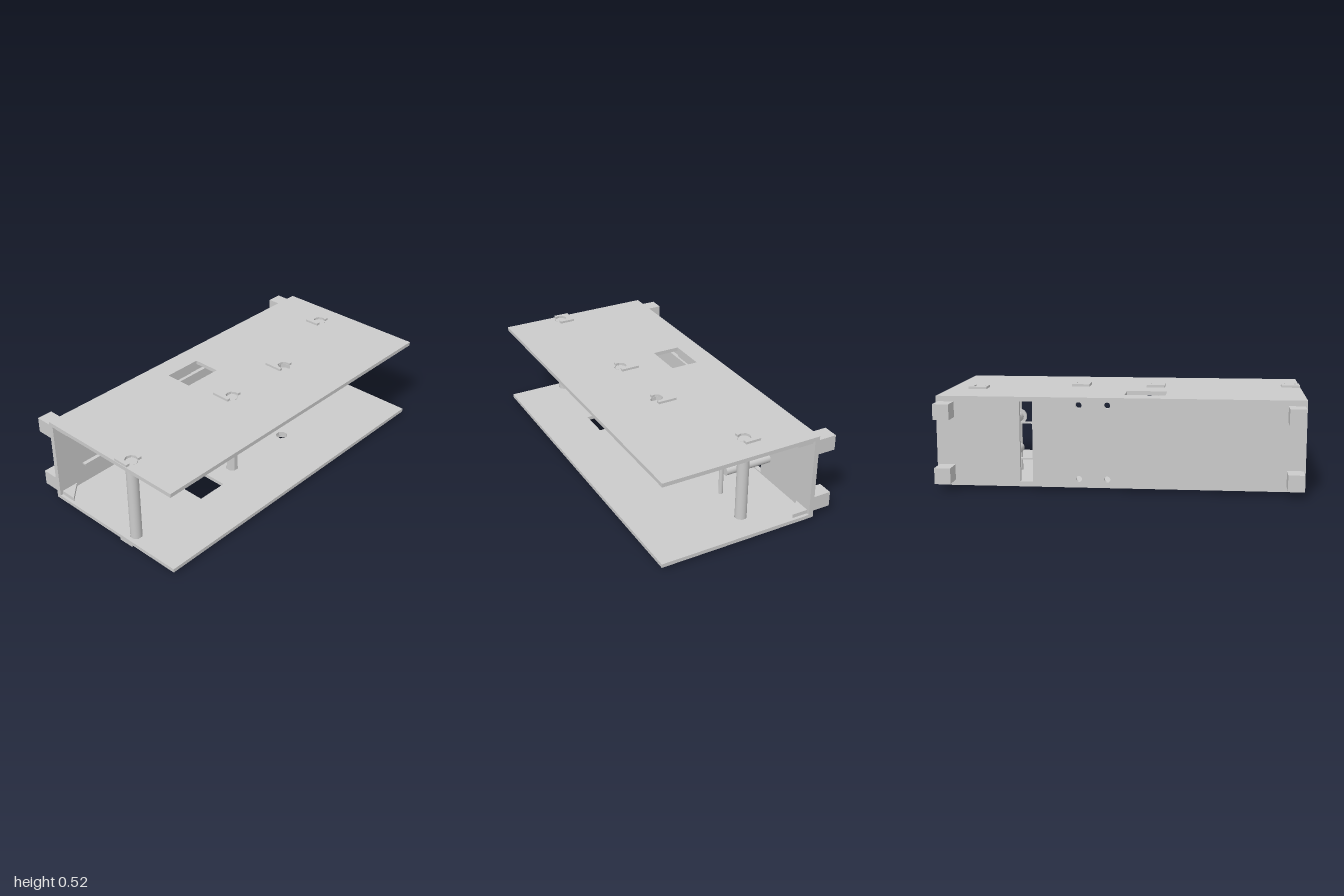
import * as THREE from 'three';

const material = new THREE.MeshStandardMaterial({ color: 0xcccccc });

// Closed outline of a rectangle, by its limits
function rect(x0, x1, y0, y1, Type = THREE.Shape) {
  const p = new Type();
  p.moveTo(x0, y0); p.lineTo(x1, y0); p.lineTo(x1, y1); p.lineTo(x0, y1); p.closePath();
  return p;
}

// Regular polygon used for holes
function ring(x, y, r, sides) {
  const pts = [];
  for (let i = 0; i < sides; i++) {
    const a = (i + 0.5) / sides * Math.PI * 2;
    pts.push(new THREE.Vector2(x + r * Math.cos(a), y + r * Math.sin(a)));
  }
  return new THREE.Path(pts);
}

const extrude = (shape, depth) =>
  new THREE.ExtrudeGeometry(shape, { depth, bevelEnabled: false, curveSegments: 8 });

// Horizontal slab: the shape is drawn as (x, -z) and raised from y0 to y1
const slab = (shape, y0, y1) =>
  extrude(shape, y1 - y0).rotateX(-Math.PI / 2).translate(0, y0, 0);

export function createModel() {
  const model = new THREE.Group();
  const add = (name, geometry) => {
    const mesh = new THREE.Mesh(geometry, material);
    mesh.name = name;
    model.add(mesh);
    return mesh;
  };
  const box = (name, x0, x1, y0, y1, z0, z1) =>
    add(name, new THREE.BoxGeometry(x1 - x0, y1 - y0, z1 - z0)
      .translate((x0 + x1) / 2, (y0 + y1) / 2, (z0 + z1) / 2));

  // Post sockets: hole centre, depth of the clip pad and sides of the post (0 = empty)
  const sockets = [
    { x: -0.945, z: 0.178, depth: 0.09, front: 0.198, sides: 24 },
    { x: -0.17, z: 0.143, depth: 0.107, front: 0.157, sides: 8 },
    { x: 0.267, z: 0.143, depth: 0.107, front: 0.157, sides: 0 },
    { x: 0.838, z: -0.05, depth: 0.088, front: -0.028, sides: 24 },
  ];
  const holeR = 0.035;

  // Upper and lower plates, each with a window
  const plates = [
    { name: 'topPlate', y0: 0.49, y1: 0.512, window: [-0.245, -0.02, 0.115, 0.275] },
    { name: 'bottomPlate', y0: 0.017, y1: 0.038, window: [-0.50, -0.32, -0.215, -0.065] },
  ];
  for (const { name, y0, y1, window } of plates) {
    const shape = rect(-1, 1, -0.51, 0.373);
    shape.holes.push(rect(...window, THREE.Path));
    for (const s of sockets) shape.holes.push(ring(s.x, -s.z, holeR, 8));
    add(name, slab(shape, y0, y1));
  }

  // Back plate with a tall slot and four bolt holes
  const back = rect(-1, 1, 0.017, 0.512);
  back.holes.push(rect(0.47, 0.54, 0.045, 0.487, THREE.Path));
  for (const x of [0.062, 0.217])
    for (const y of [0.065, 0.47]) back.holes.push(ring(x, y, 0.017, 16));
  add('backPlate', extrude(back, 0.027).translate(0, 0, -0.4));

  for (const s of sockets) {
    // Notched clip pads on the outside of both plates, open towards the front
    const start = Math.asin((s.front - s.z) / holeR);
    const pad = new THREE.Shape();
    pad.moveTo(s.x - 0.052, -s.front);
    for (let i = 0; i <= 6; i++) {
      const a = Math.PI + start - i / 6 * (Math.PI + 2 * start);
      pad.lineTo(s.x + holeR * Math.cos(a), -s.z + holeR * Math.sin(a));
    }
    pad.lineTo(s.x + 0.052, -s.front);
    pad.lineTo(s.x + 0.052, -s.front + s.depth);
    pad.lineTo(s.x - 0.052, -s.front + s.depth);
    pad.closePath();
    add('topClipPad', slab(pad, 0.512, 0.525));
    add('bottomClipPad', slab(pad, 0, 0.017));

    // Posts between the plates
    if (s.sides) {
      const post = new THREE.CylinderGeometry(0.032, 0.032, 0.495, s.sides);
      if (s.sides === 8) post.rotateY(Math.PI / 8);
      const geometry = s.sides === 8 ? post.toNonIndexed() : post;
      if (s.sides === 8) geometry.computeVertexNormals();
      add('post', geometry.translate(s.x, 0.2645, s.z));
    }
  }

  // Slim upright bar carrying the front ends of the shafts
  add('slimPost', new THREE.CylinderGeometry(0.0125, 0.0125, 0.452, 16).translate(0.602, 0.264, -0.072));

  // Round shafts running forward from the back plate
  const shaft = (name, r, y, z0, z1) =>
    add(name, new THREE.CylinderGeometry(r, r, z1 - z0, 24)
      .rotateX(Math.PI / 2).translate(0.602, y, (z0 + z1) / 2));
  shaft('upperShaft', 0.028, 0.355, -0.373, -0.1);
  shaft('upperShaftFlange', 0.044, 0.355, -0.107, -0.087);
  shaft('lowerShaft', 0.027, 0.174, -0.373, -0.094);

  // Thin rails on the inner face of the back plate
  box('upperRail', -0.83, 0.575, 0.361, 0.369, -0.373, -0.35);
  box('lowerRail', -0.83, 0.6, 0.162, 0.17, -0.373, -0.35);

  // Rounded blocks between the rails and the plates
  for (const y of [0.07, 0.405]) {
    const x0 = -0.33, x1 = -0.01, y1 = y + 0.053, r = 0.012;
    const block = new THREE.Shape();
    block.absarc(x1 - r, y + r, r, -Math.PI / 2, 0);
    block.absarc(x1 - r, y1 - r, r, 0, Math.PI / 2);
    block.absarc(x0 + r, y1 - r, r, Math.PI / 2, Math.PI);
    block.absarc(x0 + r, y + r, r, Math.PI, Math.PI * 1.5);
    block.closePath();
    add('innerBlock', extrude(block, 0.046).translate(0, 0, -0.373));
  }

  // Triangular corner gussets and square back feet, mirrored left and right
  for (const side of [-1, 1]) {
    const gusset = new THREE.Shape([
      new THREE.Vector2(side * 0.983, 0.373),
      new THREE.Vector2(side * 0.883, 0.373),
      new THREE.Vector2(side * 0.983, 0.28),
    ]);
    add('topGusset', slab(gusset, 0.468, 0.49));
    add('bottomGusset', slab(gusset, 0.038, 0.06));
    const x = side * 0.945;
    box('upperFoot', x - 0.044, x + 0.044, 0.396, 0.482, -0.51, -0.4);
    box('lowerFoot', x - 0.044, x + 0.044, 0.047, 0.133, -0.51, -0.4);
  }
  return model;
}
